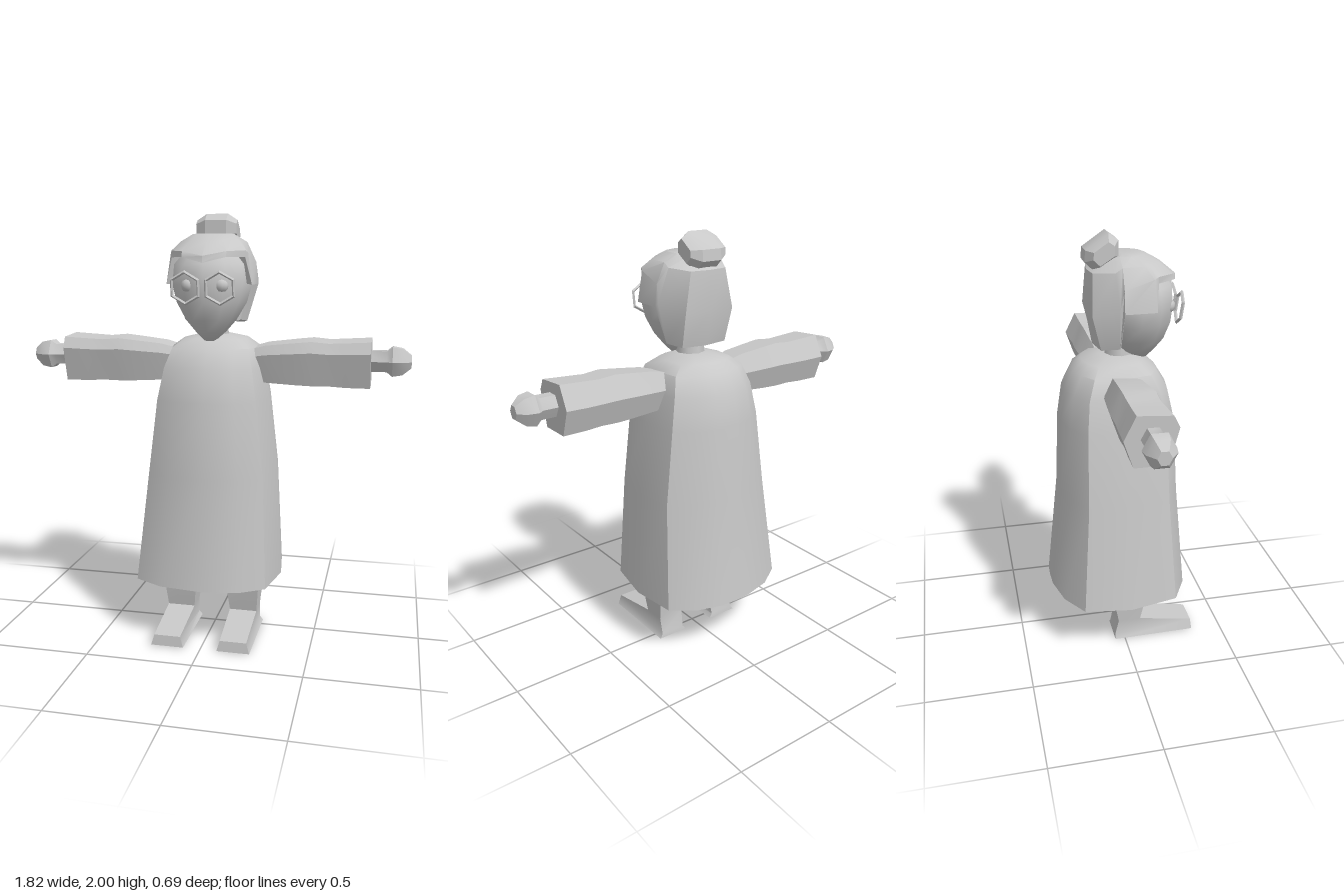
import * as THREE from 'three';
import { toCreasedNormals } from 'three/addons/utils/BufferGeometryUtils.js';

const clay = new THREE.MeshStandardMaterial({ color: 0xc8c8c8, side: THREE.DoubleSide });
clay.name = 'light grey';

// Skin through a stack of closed rings; capStart / capEnd close the ends.
function loft(rings, capStart = true, capEnd = true, crease = 0.7) {
  const n = rings[0].length, pos = [], idx = [];
  rings.forEach(r => r.forEach(p => pos.push(...p)));
  for (let i = 0; i < rings.length - 1; i++) {
    for (let j = 0; j < n; j++) {
      const k = (j + 1) % n, a = i * n + j, b = i * n + k;
      idx.push(a, b, b + n, a, b + n, a + n);
    }
  }
  const cap = (ring, start, flip) => {
    const c = pos.length / 3;
    pos.push(...[0, 1, 2].map(k => ring.reduce((s, p) => s + p[k], 0) / n));
    for (let j = 0; j < n; j++) {
      const a = start + j, b = start + (j + 1) % n;
      if (flip) idx.push(c, b, a); else idx.push(c, a, b);
    }
  };
  if (capStart) cap(rings[0], 0, true);
  if (capEnd) cap(rings[rings.length - 1], (rings.length - 1) * n, false);
  const g = new THREE.BufferGeometry();
  g.setAttribute('position', new THREE.Float32BufferAttribute(pos, 3));
  g.setIndex(idx);
  return toCreasedNormals(g, crease);
}

const mirror = rings => rings.map(r => r.map(([x, y, z]) => [-x, y, z]).reverse());

// Complete a half ring that runs from front centre round +x to back centre.
const whole = half => [...half, ...half.slice(1, -1).reverse().map(([x, y, z]) => [-x, y, z])];

export function createModel() {
  const model = new THREE.Group();
  const add = (name, geometry) => {
    const m = new THREE.Mesh(geometry, clay);
    m.name = name;
    model.add(m);
    return m;
  };

  // Robe: flat side panels, rounded front and back, open hem
  const outline = whole([[0, 0, 1], [0.52, 0, 0.92], [0.87, 0, 0.7], [1, 0, 0],
    [0.92, 0, -0.65], [0.6, 0, -0.89], [0.22, 0, -1], [0, 0, -1.01]]);
  const robe = [ // y, +x, -x, front, back
    [0.28, 0.33, 0.385, 0.33, 0.34], [0.8, 0.305, 0.32, 0.285, 0.285],
    [1.15, 0.262, 0.272, 0.27, 0.272], [1.3, 0.235, 0.24, 0.235, 0.25],
    [1.39, 0.205, 0.205, 0.18, 0.205], [1.43, 0.15, 0.15, 0.12, 0.16], [1.45, 0.07, 0.07, 0.07, 0.08],
  ].map(([y, r, l, f, b]) => outline.map(([x, , z]) => [x * (x > 0 ? r : l), y, z * (z > 0 ? f : b)]));
  add('robe', loft(robe, false, true));

  // Sleeves and hands
  const sleeveHex = [[1.43, -0.07], [1.42, 0.075], [1.37, 0.1], [1.215, 0.06], [1.215, -0.08], [1.33, -0.12]];
  const sleeve = [[0.14, 0.62, -0.01], [0.25, 0.85, -0.004], [0.38, 0.95, 0], [0.46, 1, 0.003],
    [0.54, 0.96, 0], [0.62, 1, 0], [0.73, 1.03, 0.003]]
    .map(([x, s, dy]) => sleeveHex.map(([y, z]) => [x, 1.32 + (y - 1.32) * s + dy, -0.01 + (z + 0.01) * s]));
  const hand = [[0.68, 0.05], [0.8, 0.05], [0.825, 0.07], [0.87, 0.062], [0.91, 0.03]]
    .map(([x, r]) => Array.from({ length: 6 }, (_, i) => {
      const a = (i + 0.5) * Math.PI / 3;
      return [x, 1.335 + r * Math.cos(a) * 1.1, -0.005 + r * Math.sin(a)];
    }));

  // Legs running into wedge-shaped feet
  const leg = [ // inner x, outer x, front z, front y, back z, back y
    [0.08, 0.235, 0.35, 0.005, -0.05, 0], [0.095, 0.22, 0.345, 0.055, -0.048, 0.02],
    [0.09, 0.222, 0.08, 0.1, -0.03, 0.1], [0.07, 0.238, 0.115, 0.28, -0.065, 0.28],
    [0.04, 0.25, 0.15, 0.7, -0.1, 0.7],
  ].map(([a, b, fz, fy, bz, by]) => [[a, fy, fz], [b, fy, fz], [b, by, bz], [a, by, bz]]);

  for (const [part, rings] of [['Sleeve', sleeve], ['Hand', hand], ['Leg', leg]]) {
    add('left' + part, loft(rings));
    add('right' + part, loft(mirror(rings)));
  }

  // Neck
  const neck = add('neck', new THREE.CylinderGeometry(0.06, 0.075, 0.16, 8));
  neck.position.set(0, 1.45, 0.015);

  // Face, narrowing to the chin
  const face = [ // y, half width, front z, back z
    [1.425, 0.025, 0.145, 0.08], [1.465, 0.07, 0.185, 0.0], [1.52, 0.118, 0.228, -0.05],
    [1.6, 0.165, 0.257, -0.09], [1.68, 0.187, 0.265, -0.1], [1.77, 0.178, 0.258, -0.1], [1.85, 0.11, 0.18, -0.06],
  ].map(([y, w, f, b]) => Array.from({ length: 12 }, (_, i) => {
    const a = i * Math.PI / 6;
    return [w * Math.sin(a), y, (f + b) / 2 + Math.cos(a) * (f - b) / 2];
  }));
  add('face', loft(face, true, true, 0.9));

  // Hair: fringe, side panels and back in one cap
  const hem = [[0, 1.775, 0.275], [0.1, 1.8, 0.245], [0.168, 1.8, 0.155], [0.198, 1.68, 0.145],
    [0.203, 1.68, 0], [0.15, 1.51, -0.01], [0.12, 1.5, -0.09], [0, 1.5, -0.11]];
  const hair = [
    hem.map(([x, y, z]) => [x * 0.8, y + 0.005, 0.05 + (z - 0.05) * 0.8]),
    hem,
    [[0, 1.805, 0.272], [0.1, 1.825, 0.235], [0.17, 1.83, 0.155], [0.178, 1.82, 0.135],
      [0.192, 1.78, 0], [0.2, 1.7, -0.02], [0.13, 1.66, -0.13], [0, 1.66, -0.14]],
    [[0, 1.865, 0.2], [0.075, 1.872, 0.18], [0.135, 1.87, 0.12], [0.142, 1.87, 0.1],
      [0.15, 1.87, 0], [0.15, 1.85, -0.03], [0.095, 1.84, -0.12], [0, 1.84, -0.132]],
    [[0, 1.905, 0.13], [0.06, 1.905, 0.11], [0.09, 1.905, 0.07], [0.092, 1.905, 0.05],
      [0.09, 1.905, 0], [0.085, 1.9, -0.02], [0.05, 1.895, -0.05], [0, 1.895, -0.06]],
  ].map(whole);
  add('hair', loft(hair, false, true, 0.6));

  // Bun tilted backwards on the crown
  const bunProfile = [[2.0, -0.04], [1.97, 0.002], [1.9, 0.002], [1.835, -0.1], [1.88, -0.148], [1.93, -0.143]];
  const bun = [[-0.098, 0.62], [-0.05, 1], [0.05, 1], [0.094, 0.62]]
    .map(([x, s]) => bunProfile.map(([y, z]) => [x, 1.925 + (y - 1.925) * s, -0.065 + (z + 0.065) * s]));
  add('bun', loft(bun, true, true, 0.4));

  // Eyes and six-sided spectacle rims
  for (const s of [1, -1]) {
    const side = s > 0 ? 'left' : 'right';
    add(side + 'Eye', new THREE.SphereGeometry(0.034, 10, 8)).position.set(s * 0.075, 1.677, 0.222);
    const rim = new THREE.TorusGeometry(0.07, 0.008, 4, 6);
    rim.rotateZ(Math.PI / 2);
    const m = add(side + 'SpectacleRim', toCreasedNormals(rim, 0.4));
    m.rotation.set(0.14, s * 0.08, 0);
    m.position.set(s * 0.078, 1.667, 0.275);
  }
  return model;
}
